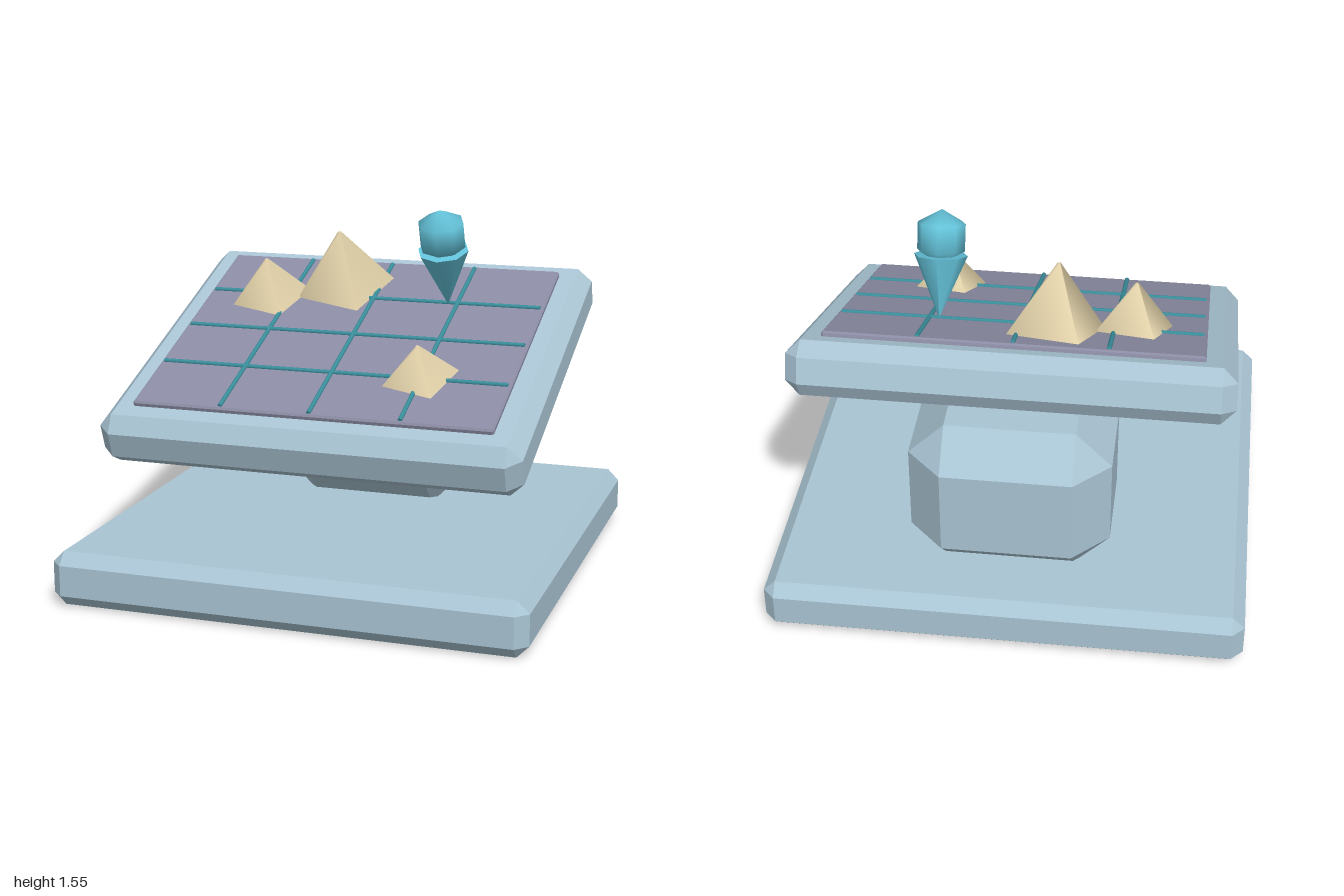
import * as THREE from 'three';
import { ConvexGeometry } from 'three/addons/geometries/ConvexGeometry.js';

const mat = (name, color) => {
  const m = new THREE.MeshStandardMaterial({ color });
  m.name = name;
  return m;
};

// Box with every edge cut at 45 degrees, given by half sizes and the cut width
function chamferBox(hx, hy, hz, c) {
  const pts = [];
  for (const x of [-1, 1]) for (const y of [-1, 1]) for (const z of [-1, 1]) {
    pts.push(
      new THREE.Vector3(x * hx, y * (hy - c), z * (hz - c)),
      new THREE.Vector3(x * (hx - c), y * hy, z * (hz - c)),
      new THREE.Vector3(x * (hx - c), y * (hy - c), z * hz)
    );
  }
  return new ConvexGeometry(pts);
}

export function createModel() {
  const casing = mat('pale blue casing', 0xa9c4d3);
  const screen = mat('grey violet board', 0x8b8ca4);
  const teal = mat('teal grid', 0x3a8f9c);
  const sand = mat('sand', 0xe0d0a8);
  const cyan = mat('cyan marker', 0x64c3da);

  const model = new THREE.Group();
  model.name = 'mapTable';

  function add(parent, name, geometry, material, x, y, z) {
    const mesh = new THREE.Mesh(geometry, material);
    mesh.name = name;
    mesh.position.set(x, y, z);
    parent.add(mesh);
    return mesh;
  }

  // Base slab and pedestal, the pedestal sunk slightly into the base
  add(model, 'base', chamferBox(1, 0.115, 1, 0.05), casing, 0, 0.115, 0);
  add(model, 'pedestal', chamferBox(0.42, 0.34, 0.34, 0.15), casing, 0, 0.54, -0.46);

  // Tilted table top, holding everything above it
  const table = new THREE.Group();
  table.name = 'tiltedTable';
  table.position.set(0, 0.89, 0);
  table.rotation.x = THREE.MathUtils.degToRad(20);
  model.add(table);
  add(table, 'tableFrame', chamferBox(0.9, 0.115, 0.767, 0.06), casing, 0, 0, 0);
  add(table, 'mapBoard', chamferBox(0.77, 0.016, 0.637, 0.008), screen, 0, 0.121, -0.004);

  // Grid rods: three each way
  for (const i of [-1, 0, 1]) {
    const down = add(table, 'gridRodDown', new THREE.CylinderGeometry(0.01, 0.01, 1.24, 8), teal, i * 0.385, 0.138, -0.002);
    down.rotation.x = Math.PI / 2;
    const across = add(table, 'gridRodAcross', new THREE.CylinderGeometry(0.01, 0.01, 1.51, 8), teal, 0, 0.138, i * 0.309);
    across.rotation.z = Math.PI / 2;
  }

  // Four-sided hills: x, z, base radius, height
  const hills = [
    [-0.467, -0.272, 0.184, 0.201],
    [-0.152, -0.39, 0.226, 0.291],
    [0.385, 0.303, 0.171, 0.162]
  ];
  for (const [x, z, r, h] of hills) {
    const hill = add(table, 'hill', new THREE.CylinderGeometry(0.008, r, h, 4), sand, x, 0.13 + h / 2, z);
    hill.rotation.y = 0.51;
  }

  // Map marker: point-down cone with a faceted ball in its top
  const marker = new THREE.Group();
  marker.name = 'marker';
  marker.position.set(0.345, 0.135, -0.302);
  table.add(marker);
  const point = add(marker, 'markerPoint', new THREE.ConeGeometry(0.112, 0.27, 8), cyan, 0, 0.135, 0);
  point.rotation.x = Math.PI;
  add(marker, 'markerBall', new THREE.SphereGeometry(0.115, 8, 3), cyan, 0, 0.346, 0);

  return model;
}
